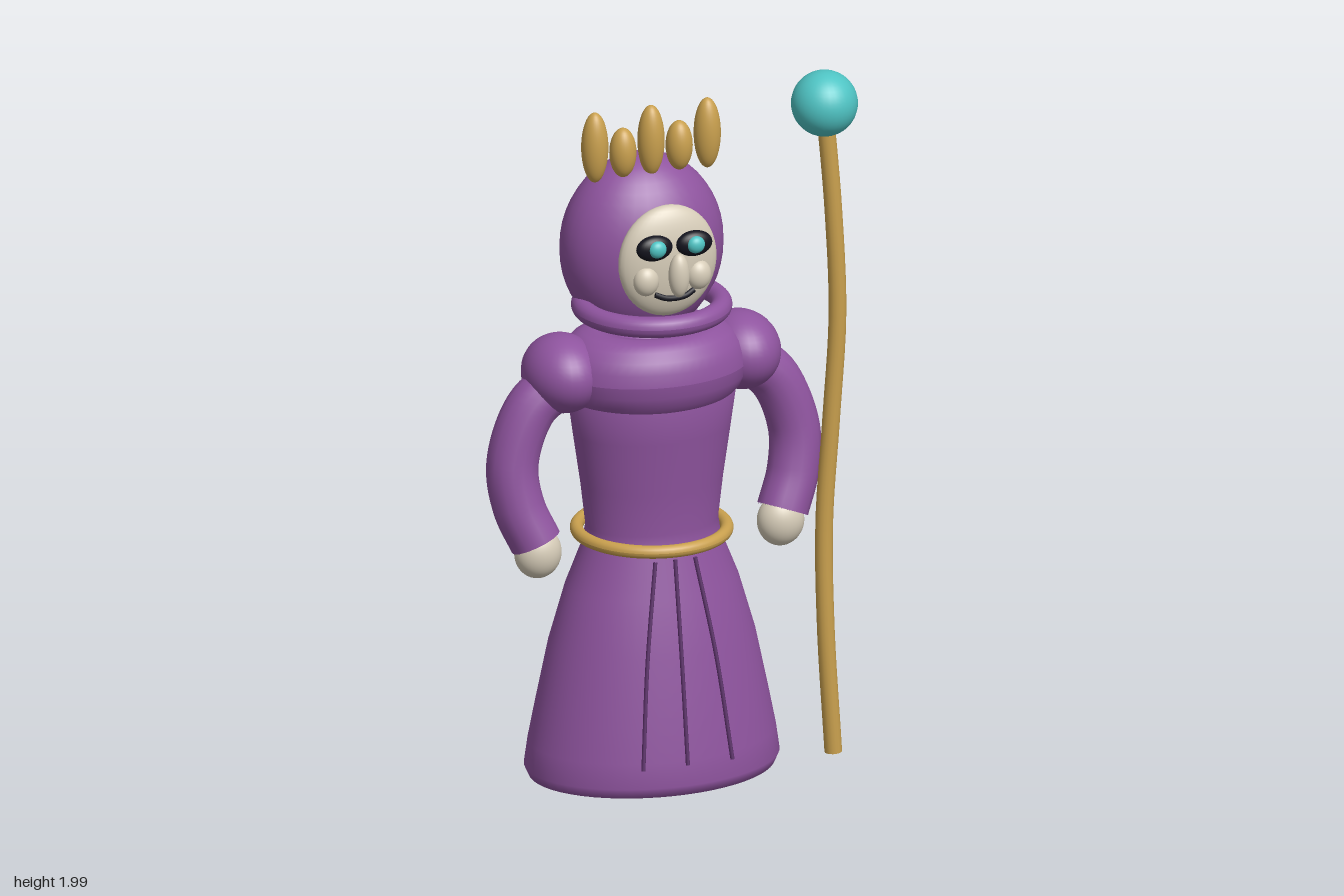
import * as THREE from 'three';

const material = (name, color) => {
  const m = new THREE.MeshStandardMaterial({ color });
  m.name = name;
  return m;
};

export function createModel() {
  const purple = material('purple cloth', 0x8f549f);
  const fold = material('dark fold', 0x5a3068);
  const gold = material('gold', 0xc9a04e);
  const teal = material('teal gem', 0x4fc4c4);
  const bone = material('pale skin', 0xd6ccb8);
  const black = material('black', 0x14141e);

  const model = new THREE.Group();
  const figure = new THREE.Group(); // the body stands left of centre to leave room for the staff
  figure.name = 'figure';
  figure.position.x = -0.033;
  model.add(figure);

  const add = (name, geometry, mat, parent = figure) => {
    const mesh = new THREE.Mesh(geometry, mat);
    mesh.name = name;
    parent.add(mesh);
    return mesh;
  };
  const ellipsoid = (name, mat, [x, y, z], [rx, ry, rz], parent) => {
    const mesh = add(name, new THREE.SphereGeometry(1, 32, 24), mat, parent);
    mesh.position.set(x, y, z);
    mesh.scale.set(rx, ry, rz);
    return mesh;
  };
  const ring = (name, mat, y, radius, tube, depth = 1) => {
    const geometry = new THREE.TorusGeometry(radius, tube, 20, 56).rotateX(Math.PI / 2);
    const mesh = add(name, geometry.scale(1, 1, depth), mat);
    geometry.computeVertexNormals();
    mesh.position.y = y;
    return mesh;
  };
  // Round bar through the given points, closed with a disc at each end
  const bar = (name, mat, points, radius, parent, sides = 12) => {
    const curve = new THREE.CatmullRomCurve3(points.map((p) => new THREE.Vector3(...p)));
    const mesh = add(name, new THREE.TubeGeometry(curve, 32, radius, sides), mat, parent);
    for (const t of [0, 1]) {
      const cap = add(name + 'End', new THREE.CircleGeometry(radius, sides), mat, mesh);
      const p = curve.getPoint(t);
      cap.position.copy(p);
      cap.lookAt(p.add(curve.getTangent(t).multiplyScalar(t ? 1 : -1)));
    }
    return mesh;
  };

  // Robe: one oval lathe from hem to chest
  const profile = [
    [0, 0.01], [0.3, 0.012], [0.345, 0.022], [0.358, 0.05], [0.348, 0.12], [0.328, 0.22],
    [0.29, 0.4], [0.243, 0.56], [0.195, 0.68], [0.186, 0.73], [0.2, 0.85], [0.222, 1.0],
    [0.236, 1.1], [0.2, 1.2], [0, 1.24],
  ].map((p) => new THREE.Vector2(...p));
  const robe = add('robe', new THREE.LatheGeometry(profile, 56), purple);
  robe.scale.z = 0.74;

  ring('shoulderCape', purple, 1.18, 0.16, 0.11, 0.76);
  ring('belt', gold, 0.708, 0.204, 0.018);

  // Skirt folds
  for (const s of [-1, 0, 1]) {
    bar('skirtFold', fold, [[s * 0.058, 0.67, 0.172], [s * 0.1, 0.4, 0.22], [s * 0.13, 0.11, 0.265]], 0.006, figure, 8);
  }

  // Arms and hands
  for (const s of [-1, 1]) {
    ellipsoid('shoulder', purple, [s * 0.26, 1.185, -0.005], [0.108, 0.108, 0.132]);
    bar('sleeve', purple, [
      [s * 0.25, 1.17, 0], [s * 0.35, 1.1, 0], [s * 0.41, 0.95, 0.01], [s * 0.4, 0.83, 0.03], [s * 0.36, 0.73, 0.055],
    ], 0.071, figure, 16);
    ellipsoid('hand', bone, [s * 0.354, 0.7, 0.055], [0.066, 0.072, 0.055]);
  }

  // Head
  ellipsoid('hood', purple, [0, 1.5, -0.075], [0.23, 0.26, 0.176]);
  ring('collar', purple, 1.35, 0.19, 0.029);
  ellipsoid('face', bone, [0, 1.515, 0.115], [0.142, 0.158, 0.052]);
  ellipsoid('nose', bone, [0, 1.498, 0.2], [0.029, 0.062, 0.027]);
  for (const s of [-1, 1]) {
    ellipsoid('eyeSocket', black, [s * 0.058, 1.572, 0.165], [0.052, 0.036, 0.025]);
    ellipsoid('iris', teal, [s * 0.056, 1.574, 0.184], [0.025, 0.024, 0.018]);
    ellipsoid('cheek', bone, [s * 0.076, 1.475, 0.15], [0.036, 0.042, 0.03]);
  }
  bar('mouth', black, [[-0.056, 1.438, 0.166], [-0.025, 1.427, 0.175], [0.025, 1.427, 0.175], [0.056, 1.438, 0.166]], 0.008, figure, 8);

  // Crown spikes alternate tall and short
  for (let i = -2; i <= 2; i++) {
    const tall = i % 2 === 0;
    ellipsoid('crownSpike', gold, [i * 0.082, tall ? 1.82 : 1.795, -0.005], [0.037, tall ? 0.1 : 0.07, 0.037]);
  }

  // Staff
  const staff = new THREE.Group();
  staff.name = 'staff';
  model.add(staff);
  bar('staffShaft', gold, [
    [0.446, 0.04, 0.127], [0.426, 0.4, 0.122], [0.424, 0.7, 0.116], [0.442, 1.0, 0.122],
    [0.457, 1.3, 0.13], [0.445, 1.6, 0.13], [0.424, 1.87, 0.125],
  ], 0.024, staff, 16);
  ellipsoid('staffOrb', teal, [0.421, 1.909, 0.125], [0.091, 0.091, 0.091], staff);

  return model;
}
